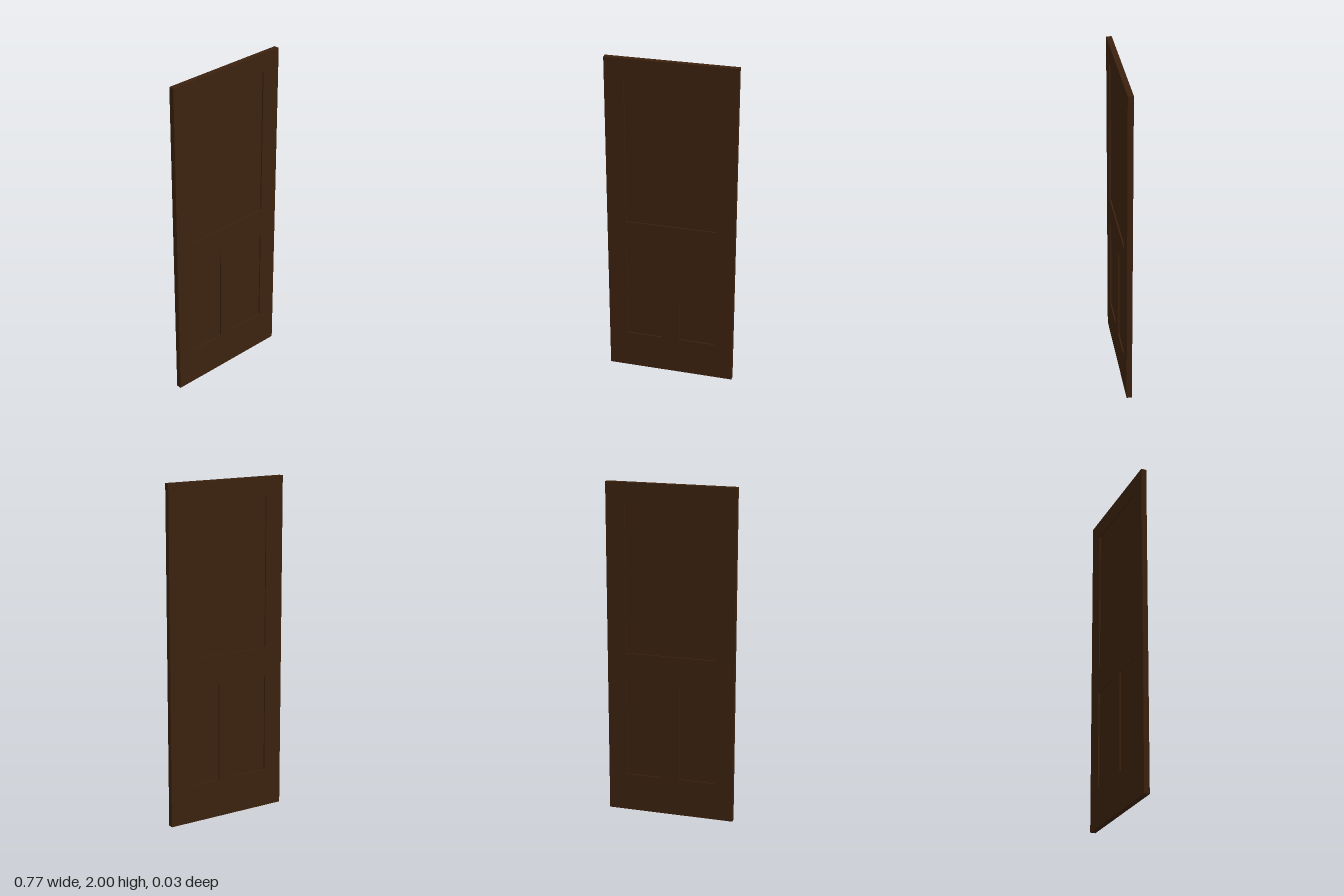
import * as THREE from 'three';

const W = 0.768, H = 2, T = 0.032; // door leaf size
const RECESS = 0.008;              // panel depth below each face

// Panel openings: [x0, x1, y0, y1]
const OPENINGS = {
  upperPanel: [-0.27, 0.27, 0.993, 1.888],
  lowerRightPanel: [-0.27, -0.054, 0.23, 0.824],
  lowerLeftPanel: [0.054, 0.27, 0.23, 0.824],
};

function rectangle(PathType, [x0, x1, y0, y1]) {
  const p = new PathType();
  p.moveTo(x0, y0).lineTo(x1, y0).lineTo(x1, y1).lineTo(x0, y1).closePath();
  return p;
}

export function createModel() {
  const door = new THREE.Group();
  door.name = 'door';
  const wood = new THREE.MeshStandardMaterial({ color: 0x3c220f });
  wood.name = 'dark wood';

  // Stiles and rails as one frame with three openings
  const outline = rectangle(THREE.Shape, [-W / 2, W / 2, 0, H]);
  outline.holes = Object.values(OPENINGS).map((o) => rectangle(THREE.Path, o));
  const frameGeometry = new THREE.ExtrudeGeometry(outline, { depth: T, bevelEnabled: false });
  frameGeometry.translate(0, 0, -T / 2);
  const frame = new THREE.Mesh(frameGeometry, wood);
  frame.name = 'doorFrame';
  door.add(frame);

  // Flat panels recessed on both faces
  for (const [name, [x0, x1, y0, y1]] of Object.entries(OPENINGS)) {
    const panel = new THREE.Mesh(new THREE.BoxGeometry(x1 - x0, y1 - y0, T - 2 * RECESS), wood);
    panel.position.set((x0 + x1) / 2, (y0 + y1) / 2, 0);
    panel.name = name;
    door.add(panel);
  }
  return door;
}
